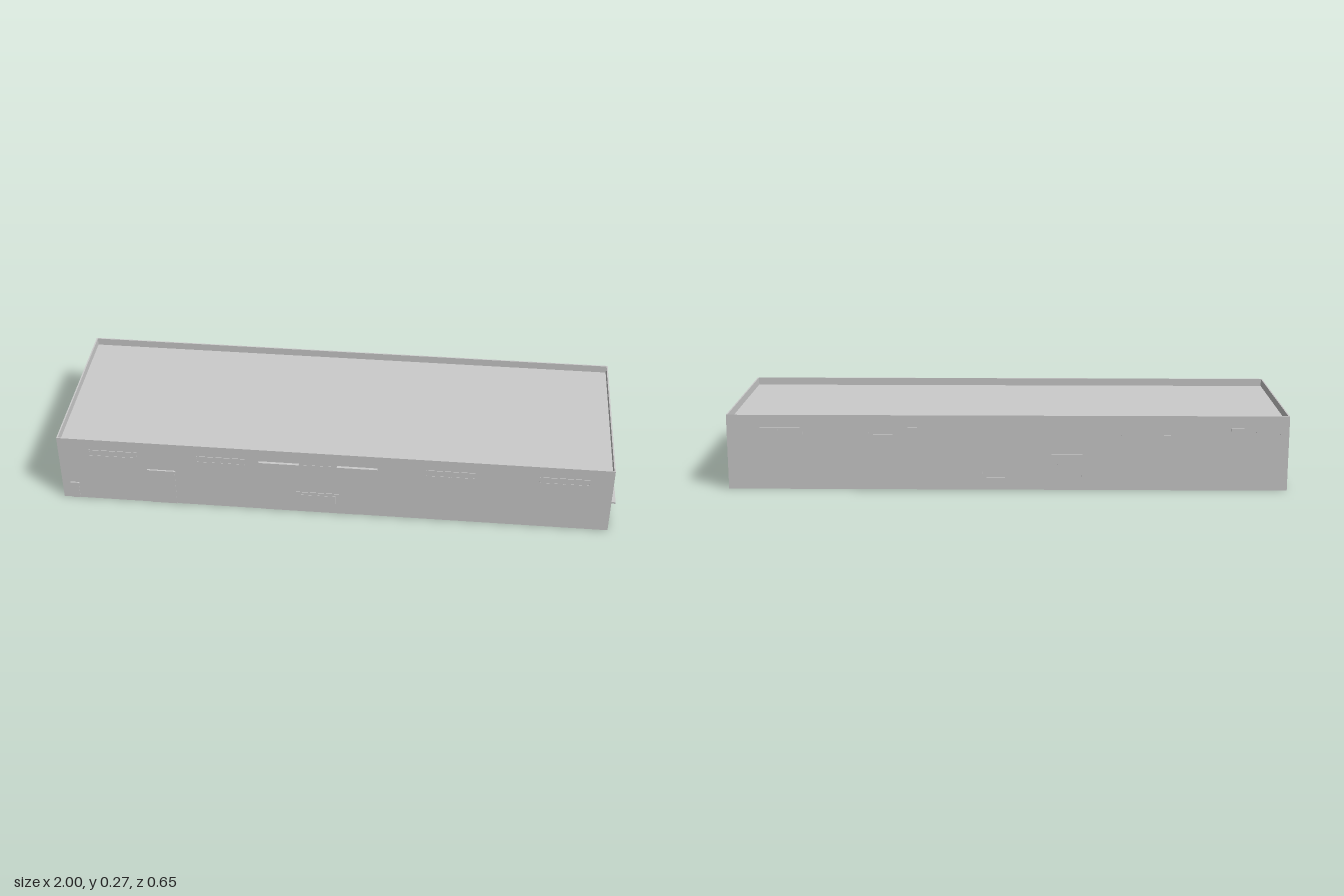
import * as THREE from 'three';

export function createModel() {
  const model = new THREE.Group();
  const mat = new THREE.MeshStandardMaterial({ color: 0xcccccc, flatShading: true });
  const X0 = -1, X1 = 0.98, Z0 = -0.323, Z1 = 0.317, H = 0.27, ROOF = 0.242, T = 0.005;

  const add = (name, geo, parent = model) => {
    const mesh = new THREE.Mesh(geo, mat);
    mesh.name = name;
    parent.add(mesh);
    return mesh;
  };
  // Box given by its limits on each axis
  const box = (name, x0, x1, y0, y1, z0, z1, parent) => {
    const mesh = add(name, new THREE.BoxGeometry(x1 - x0, y1 - y0, z1 - z0), parent);
    mesh.position.set((x0 + x1) / 2, (y0 + y1) / 2, (z0 + z1) / 2);
    return mesh;
  };
  const rect = (C, x0, y0, x1, y1) => {
    const p = new C();
    p.moveTo(x0, y0);
    p.lineTo(x1, y0);
    p.lineTo(x1, y1);
    p.lineTo(x0, y1);
    p.closePath();
    return p;
  };

  // Building shell: solid block up to the roof deck, thin parapet around it
  box('buildingBody', X0, X1, 0, ROOF, Z0, Z1);
  const ring = rect(THREE.Shape, X0, Z0, X1, Z1);
  ring.holes.push(rect(THREE.Path, X0 + T, Z0 + T, X1 - T, Z1 - T));
  const parapet = new THREE.ExtrudeGeometry(ring, { depth: H - ROOF, bevelEnabled: false });
  parapet.rotateX(Math.PI / 2);
  parapet.translate(0, H, 0);
  // rotateX maps the outline's y straight onto z
  add('parapet', parapet);

  // Framed window with equal panes, facing +z in its own frame
  const makeWindow = (name, w, h, panes) => {
    const g = new THREE.Group();
    g.name = name;
    const f = 0.003, pw = (w - f * (panes + 1)) / panes;
    const outline = rect(THREE.Shape, -w / 2, -h / 2, w / 2, h / 2);
    for (let i = 0; i < panes; i++) {
      const x = -w / 2 + f + i * (pw + f);
      outline.holes.push(rect(THREE.Path, x, -h / 2 + f, x + pw, h / 2 - f));
    }
    add('windowFrame', new THREE.ExtrudeGeometry(outline, { depth: 0.002, bevelEnabled: false }), g);
    box('windowGlass', -w / 2 + f, w / 2 - f, -h / 2 + f, h / 2 - f, 0, 0.001, g);
    model.add(g);
    return g;
  };

  // High strip windows on the front
  for (const x of [-0.8, -0.41, 0.41, 0.81])
    makeWindow('frontWindow', 0.175, 0.027, 2).position.set(x, 0.212, Z1);

  // Strip windows and two large windows on the back
  const backWindow = (x, y, w, h) => {
    const win = makeWindow('backWindow', w, h, 2);
    win.position.set(x, y, Z0);
    win.rotation.y = Math.PI;
  };
  for (const x of [0.8, 0.395, -0.5, -0.885]) backWindow(x, 0.212, 0.175, 0.027);
  for (const x of [0.08, -0.19]) backWindow(x, 0.086, 0.17, 0.09);

  // Shallow entrance facade with glazed doors and canopies
  box('entrancePanel', -0.26, 0.085, 0, 0.215, Z1, Z1 + 0.001);
  for (const x of [-0.1, -0.03])
    box('entranceDoor', x - 0.033, x + 0.033, 0.002, 0.078, Z1, Z1 + 0.002);
  box('entranceCanopy', -0.14, 0.015, 0.08, 0.091, Z1, Z1 + 0.003);
  for (const x of [-0.2, 0.08])
    box('upperCanopy', x - 0.072, x + 0.072, 0.216, 0.22, Z1, Z1 + 0.01);

  // Loading door with a lintel, and a small service door
  box('loadingDoor', -0.677, -0.58, 0, 0.147, Z1, Z1 + 0.002);
  box('loadingDoorLintel', -0.68, -0.577, 0.147, 0.152, Z1, Z1 + 0.006);
  box('serviceDoor', -0.967, -0.94, 0, 0.068, Z1, Z1 + 0.002);
  box('serviceDoorLintel', -0.97, -0.937, 0.068, 0.071, Z1, Z1 + 0.005);

  // Side entrance: double door with oval lights under a projecting canopy
  box('sideDoor', X1, X1 + 0.002, 0, 0.09, 0.19, 0.275);
  for (const z of [0.23, 0.262]) {
    const oval = new THREE.CylinderGeometry(1, 1, 0.001, 32);
    oval.rotateZ(Math.PI / 2);
    oval.scale(1, 0.025, 0.0125);
    add('ovalLight', oval).position.set(X1 + 0.0025, 0.041, z);
  }
  box('sideCanopy', X1, 1, 0.091, 0.098, 0.189, 0.276);

  return model;
}
